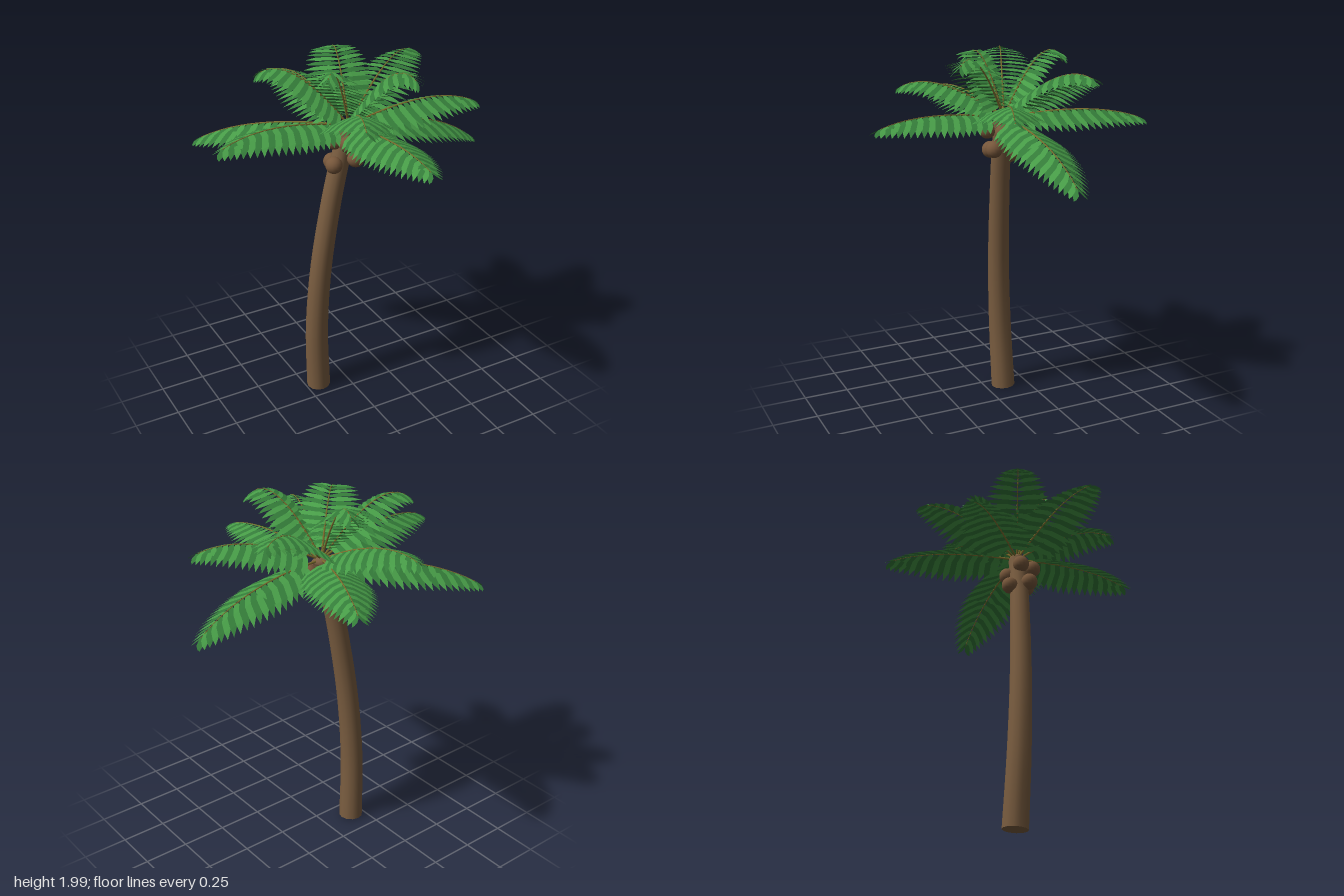
import * as THREE from 'three';

const V = (x, y, z) => new THREE.Vector3(x, y, z);

function material(name, color, options = {}) {
  const m = new THREE.MeshStandardMaterial({ color, ...options });
  m.name = name;
  return m;
}

// Tube whose radius runs from r0 to r1
function taperedTube(curve, segments, r0, r1, sides) {
  const geo = new THREE.TubeGeometry(curve, segments, 1, sides);
  const pos = geo.attributes.position;
  const p = V(0, 0, 0);
  for (let i = 0; i <= segments; i++) {
    const center = curve.getPointAt(i / segments);
    const r = THREE.MathUtils.lerp(r0, r1, i / segments);
    for (let j = 0; j <= sides; j++) {
      const k = i * (sides + 1) + j;
      p.fromBufferAttribute(pos, k).sub(center).multiplyScalar(r).add(center);
      pos.setXYZ(k, p.x, p.y, p.z);
    }
  }
  geo.computeBoundingSphere();
  return geo;
}

// One leaflet: narrow foot, broad middle, pointed end; flip keeps mirrored faces upward
function addLeaflet(out, root, dir, along, length, width, flip) {
  const at = (u, w, sag) => root.clone()
    .addScaledVector(dir, length * u)
    .addScaledVector(along, width * w)
    .add(V(0, -sag * length, 0));
  const a = at(0, -0.22, 0), b = at(0, 0.22, 0);
  const c = at(0.3, -0.5, 0), d = at(0.3, 0.5, 0);
  const e = at(0.7, -0.4, 0.03), f = at(0.7, 0.4, 0.03);
  const tip = at(1, 0.15, 0.09);
  for (const [p, q, r] of [[a, b, c], [b, d, c], [c, d, e], [d, f, e], [e, f, tip]]) {
    for (const v of flip ? [p, r, q] : [p, q, r]) out.push(v.x, v.y, v.z);
  }
}

export function createModel() {
  const bark = material('bark brown', 0x7a5d40);
  const shell = material('coconut brown', 0x77573b);
  const stalk = material('stalk olive', 0x80702f);
  const leafOptions = { side: THREE.DoubleSide, flatShading: true };
  const lightLeaf = material('light leaf green', 0x479c47, leafOptions);
  const darkLeaf = material('dark leaf green', 0x347c39, leafOptions);

  const model = new THREE.Group();
  model.name = 'palmTree';
  const add = (parent, name, geo, mat) => {
    const mesh = new THREE.Mesh(geo, mat);
    mesh.name = name;
    parent.add(mesh);
    return mesh;
  };

  // Leaning, curved trunk with closed ends
  const trunkCurve = new THREE.CatmullRomCurve3([
    V(-0.174, 0.007, -0.107), V(-0.186, 0.4, -0.092), V(-0.164, 0.8, -0.073),
    V(-0.108, 1.2, -0.053), V(-0.07, 1.4, -0.042), V(-0.015, 1.63, -0.03),
  ]);
  add(model, 'trunk', taperedTube(trunkCurve, 24, 0.068, 0.05, 12), bark);
  const base = add(model, 'trunkBase', new THREE.CircleGeometry(0.068, 12), bark);
  base.position.copy(trunkCurve.getPointAt(0));
  base.quaternion.setFromUnitVectors(V(0, 0, 1), trunkCurve.getTangentAt(0).negate());
  const crown = add(model, 'crown', new THREE.SphereGeometry(0.05, 12, 8), bark);
  crown.position.set(-0.015, 1.63, -0.03);
  crown.scale.y = 0.7;

  // Coconuts clustered under the crown
  const nuts = [
    [-0.115, 1.45, 0.0], [-0.002, 1.475, 0.03], [-0.055, 1.572, 0.045], [0.05, 1.572, 0.0],
    [-0.09, 1.568, -0.04], [0.0, 1.525, -0.085], [-0.075, 1.425, -0.1],
  ];
  const nutGeo = new THREE.SphereGeometry(0.046, 14, 10);
  nuts.forEach((p) => add(model, 'coconut', nutGeo, shell).position.set(...p));

  // Fronds: tip x, y, z and height of the arch
  const fronds = [
    [0.755, 1.43, -0.05, 1.64], [0.59, 1.75, 0.2, 1.84], [0.04, 1.65, 0.675, 1.73],
    [-0.19, 1.82, 0.465, 1.90], [-0.755, 1.70, 0.06, 1.80], [-0.635, 1.52, -0.53, 1.67],
    [-0.125, 1.785, -0.62, 1.87], [0.29, 1.645, -0.675, 1.73], [0.50, 1.905, -0.265, 1.98],
    [0.05, 1.965, -0.33, 2.09], [-0.42, 1.95, -0.2, 2.04], [-0.19, 1.96, 0.09, 2.08],
    [0.185, 1.955, 0.3, 2.08],
  ];
  const heart = V(-0.01, 1.64, -0.03);
  const up = V(0, 1, 0);
  const count = 20;

  fronds.forEach(([x, y, z, arch]) => {
    const frond = new THREE.Group();
    frond.name = 'frond';
    model.add(frond);
    const tip = V(x, y, z);
    const bend = heart.clone().lerp(tip, 0.65).setY(arch);
    const rib = new THREE.QuadraticBezierCurve3(heart, bend, tip);
    add(frond, 'midrib', taperedTube(rib, 14, 0.007, 0.002, 5), stalk);

    // Paired leaflets along the midrib, alternating in colour
    const side = V(x - heart.x, 0, z - heart.z).normalize().cross(up);
    const light = [], dark = [];
    const step = rib.getLength() * 0.84 / count;
    for (let i = 0; i < count; i++) {
      const t = i / (count - 1);
      const root = rib.getPointAt(0.16 + 0.84 * t);
      const tangent = rib.getTangentAt(0.16 + 0.84 * t);
      // Blades lie flatter than the rib and tip slightly outward
      const along = V(tangent.x, tangent.y * 0.45 - 0.15, tangent.z).normalize();
      // Leaflets stay long past the middle and shrink toward the tip
      const length = 0.06 + 0.15 * Math.min(1, 0.7 + t) * (1 - Math.pow(t, 2.8));
      for (const s of [-1, 1]) {
        const dir = side.clone().multiplyScalar(s)
          .addScaledVector(tangent, 0.28 + 0.6 * t * t)
          .add(V(0, -0.36, 0)).normalize();
        addLeaflet(i % 2 ? dark : light, root, dir, along, length, step * 1.7, s > 0);
      }
    }
    [[light, lightLeaf, 'lightLeaflets'], [dark, darkLeaf, 'darkLeaflets']].forEach(([pts, mat, name]) => {
      const geo = new THREE.BufferGeometry();
      geo.setAttribute('position', new THREE.Float32BufferAttribute(pts, 3));
      geo.computeVertexNormals();
      add(frond, name, geo, mat);
    });
  });

  return model;
}
